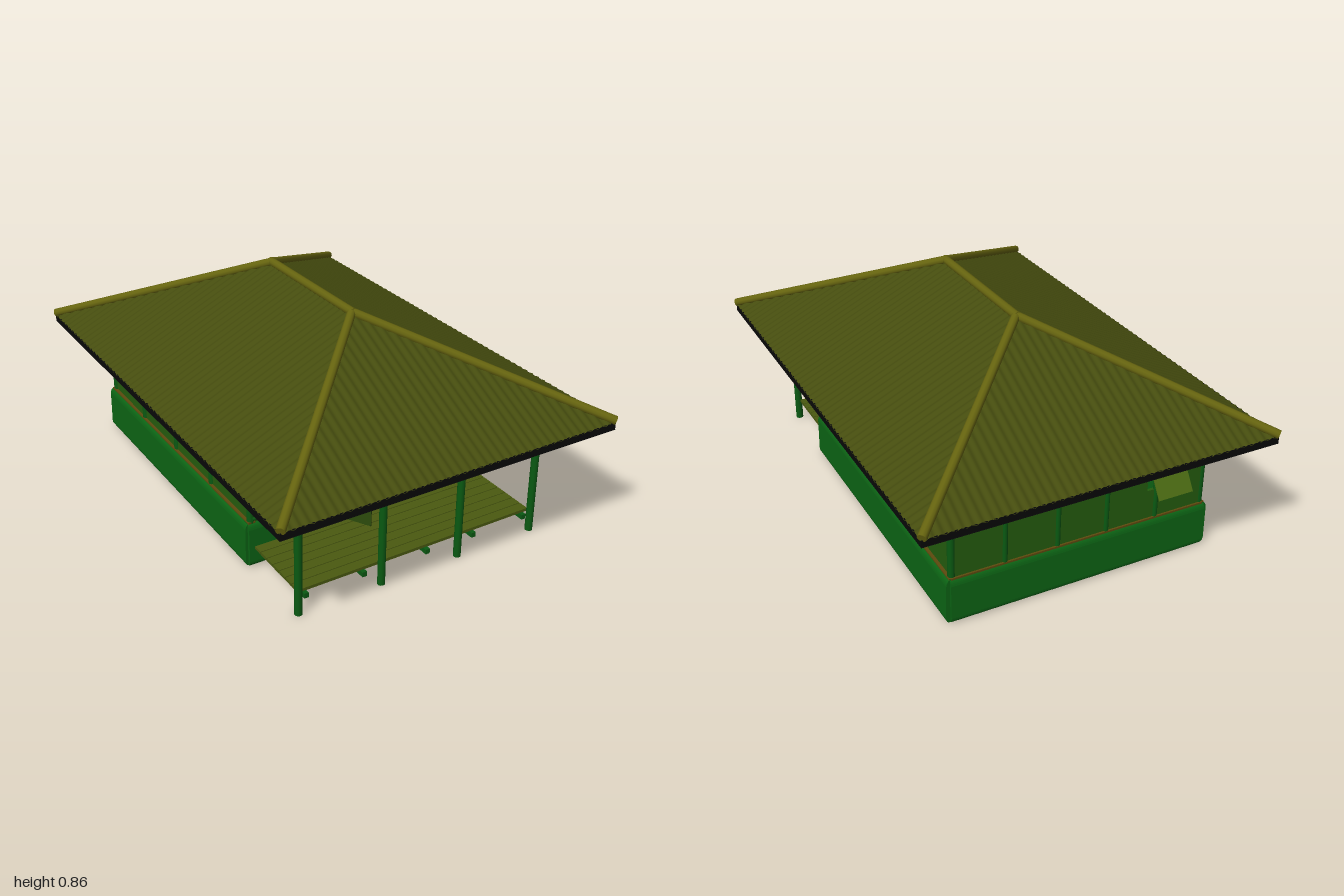
import * as THREE from 'three';

const mat = (color) => new THREE.MeshStandardMaterial({ color, side: THREE.DoubleSide });

export function createModel() {
  const hut = new THREE.Group();
  const roofMat = mat(0x454c0e), ridgeMat = mat(0x66640f), darkMat = mat(0x080808);
  const wallMat = mat(0x245c0e), postMat = mat(0x0a5a12), baseMat = mat(0x0c6414);
  const deckMat = mat(0x4a5a10), sillMat = mat(0x5e4a0e);

  const add = (name, geometry, material) => {
    const mesh = new THREE.Mesh(geometry, material);
    mesh.name = name;
    hut.add(mesh);
    return mesh;
  };
  // Box given by its min and max corners
  const box = (name, a, b, material) => add(name,
    new THREE.BoxGeometry(b[0] - a[0], b[1] - a[1], b[2] - a[2])
      .translate((a[0] + b[0]) / 2, (a[1] + b[1]) / 2, (a[2] + b[2]) / 2), material);
  // Round pole between two points
  const pole = (name, a, b, r, material = postMat) => {
    const p = new THREE.Vector3(...a), q = new THREE.Vector3(...b);
    const dir = q.clone().sub(p);
    const mesh = add(name, new THREE.CylinderGeometry(r, r, dir.length(), 10), material);
    mesh.position.copy(p).add(q).multiplyScalar(0.5);
    mesh.quaternion.setFromUnitVectors(new THREE.Vector3(0, 1, 0), dir.normalize());
  };

  // Roof sheet: strips run from the eave up to the hips, rippled by amp
  const roofSheet = (name, half, eave, top, angle, y, amp, material) => {
    const pos = [], index = [], n = Math.round(half * 2 / 0.0058);
    for (let i = 0; i <= n; i++) {
      const u = -half + (2 * half * i) / n;
      const t = Math.min(1, (half - Math.abs(u)) / (half > 0.9 ? 0.69 : 0.7));
      const wave = amp * Math.cos((u * 2 * Math.PI) / 0.035);
      pos.push(u, y + wave, eave);
      pos.push(u, y + 0.33 * t + wave, eave + (top - eave) * t);
      if (i < n) index.push(2 * i, 2 * i + 2, 2 * i + 3, 2 * i, 2 * i + 3, 2 * i + 1);
    }
    const g = new THREE.BufferGeometry();
    g.setAttribute('position', new THREE.Float32BufferAttribute(pos, 3));
    g.setIndex(index);
    g.computeVertexNormals();
    add(name, g.rotateY(angle), material);
  };
  // Each slope has a corrugated top and a dark underside
  const slope = (name, ...shape) => {
    roofSheet(name + 'Roof', ...shape, 0.517, 0.003, roofMat);
    roofSheet(name + 'RoofUnderside', ...shape, 0.49, 0, darkMat);
  };
  slope('front', 0.7, 0.99, 0.3, 0);
  slope('back', 0.7, 0.99, 0.3, Math.PI);
  slope('left', 0.99, 0.7, 0, Math.PI / 2);
  slope('right', 0.99, 0.7, 0, -Math.PI / 2);

  // Dark eave edge, ridge and hip poles
  for (const s of [-1, 1]) {
    box('sideEave', [s * 0.697 - 0.002, 0.488, -0.988], [s * 0.697 + 0.002, 0.517, 0.988], darkMat);
    box('endEave', [-0.698, 0.488, s * 0.987 - 0.002], [0.698, 0.517, s * 0.987 + 0.002], darkMat);
    for (const sx of [-1, 1])
      pole('hipPole', [sx * 0.697, 0.526, s * 0.99], [0, 0.852, s * 0.3], 0.017, ridgeMat);
  }
  pole('ridgePole', [0, 0.852, -0.31], [0, 0.852, 0.31], 0.017, ridgeMat);

  // Walls, with a window opening facing another at the back
  const wallTop = 0.525;
  const rect = (P, x0, y0, x1, y1) => {
    const p = new P();
    p.moveTo(x0, y0).lineTo(x1, y0).lineTo(x1, y1).lineTo(x0, y1).closePath();
    return p;
  };
  for (const z of [-0.816, 0.434]) {
    const wall = rect(THREE.Shape, -0.51, 0.1, 0.51, wallTop);
    wall.holes.push(rect(THREE.Path, -0.415, 0.31, -0.27, 0.425));
    add(z < 0 ? 'backWall' : 'frontWall',
      new THREE.ExtrudeGeometry(wall, { depth: 0.012, bevelEnabled: false }).translate(0, 0, z), wallMat);
  }
  for (const s of [-1, 1])
    box('sideWall', [s * 0.51 - 0.006, 0.1, -0.81], [s * 0.51 + 0.006, wallTop, 0.44], wallMat);
  box('doorwayPanel', [-0.16, 0.01, 0.434], [0.13, 0.12, 0.446], wallMat);
  box('doorStep', [-0.12, 0.008, 0.44], [0.11, 0.018, 0.47], deckMat);

  // Propped shutter and open door
  const shutter = box('backShutter', [-0.0725, -0.135, -0.002], [0.0725, 0, 0.002], mat(0x4a6a12));
  shutter.position.set(-0.3425, 0.425, -0.818);
  shutter.rotation.x = 0.57;
  const door = box('door', [0, 0.02, -0.003], [0.15, 0.43, 0.003], mat(0x2c4a0c));
  door.position.set(-0.148, 0, 0.44);
  door.rotation.y = -1.05;

  // Low rounded base wall, extruded along x or z
  const baseWall = (length, x, z, angle) => {
    const s = new THREE.Shape();
    s.moveTo(-0.018, 0.01).lineTo(0.015, 0.01);
    s.quadraticCurveTo(0.024, 0.012, 0.025, 0.03).lineTo(0.023, 0.165);
    s.quadraticCurveTo(0.02, 0.188, 0.008, 0.189).lineTo(-0.018, 0.189).closePath();
    const g = new THREE.ExtrudeGeometry(s, { depth: length, bevelEnabled: false, curveSegments: 6 });
    g.translate(0, 0, -length / 2).rotateY(angle).translate(x, 0, z);
    add('baseWall', g, baseMat);
  };
  baseWall(1.27, 0.516, -0.187, 0);
  baseWall(1.27, -0.516, -0.187, Math.PI);
  baseWall(1.05, 0, -0.808, Math.PI / 2);
  baseWall(0.39, -0.335, 0.436, -Math.PI / 2);
  baseWall(0.41, 0.32, 0.436, -Math.PI / 2);

  // Ledges and sills on top of the base
  for (const s of [-1, 1]) {
    box('sideLedge', [s * 0.513 - 0.015, 0.183, -0.82], [s * 0.513 + 0.015, 0.193, 0.45], sillMat);
    pole('frontSill', [s * 0.18, 0.204, 0.447], [s * 0.51, 0.204, 0.447], 0.008);
  }
  box('backLedge', [-0.52, 0.183, -0.823], [0.52, 0.193, -0.793], sillMat);

  // Wall posts and top plates
  for (const s of [-1, 1]) {
    for (const z of [0.437, 0.13, -0.18, -0.49, -0.805])
      pole('sidePost', [s * 0.512, 0.18, z], [s * 0.512, wallTop, z], 0.014);
    for (const x of [0.1, 0.31])
      pole('backPost', [s * x, 0.18, -0.812], [s * x, wallTop, -0.812], 0.011);
    pole('topPlate', [s * 0.512, 0.52, -0.81], [s * 0.512, 0.52, 0.79], 0.012);
  }
  pole('frontStud', [0.353, 0.2, 0.445], [0.353, wallTop, 0.445], 0.007);
  for (const z of [-0.81, 0.44, 0.785])
    pole('crossPlate', [-0.512, 0.52, z], [0.512, 0.52, z], 0.012);

  // Porch posts, joists and deck boards
  for (const x of [-0.515, -0.17, 0.17, 0.515])
    pole('porchPost', [x, 0.005, 0.785], [x, wallTop, 0.785], 0.015);
  for (const x of [-0.485, -0.245, 0.03, 0.24, 0.48])
    box('deckJoist', [x - 0.009, 0.065, 0.45], [x + 0.009, 0.085, 0.79], postMat);
  for (let i = 0; i < 7; i++) {
    const z = 0.465 + i * 0.0445;
    box('deckBoard', [-0.51, 0.084, z], [0.51, 0.096, z + 0.041], deckMat);
  }
  return hut;
}
